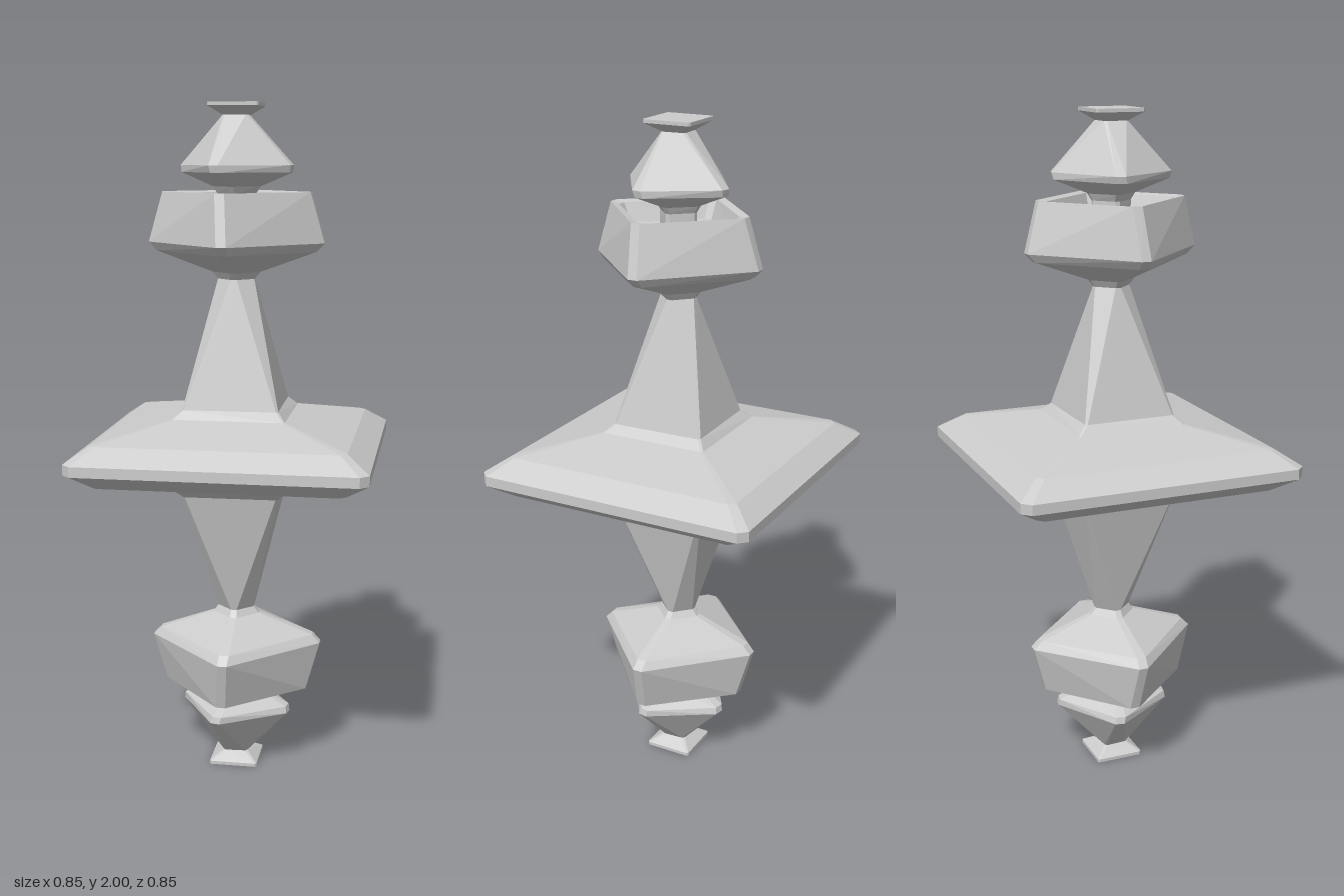
import * as THREE from 'three';

// Each ring: [height, half width, corner chamfer, twist in degrees]
const parts = {
  centralPlate: [
    [1.0, 0.425, 0.025, 0],
    [1.015, 0.425, 0.025, 0],
    [1.06, 0.36, 0.018, 0],
    [1.105, 0.165, 0.006, 0],
  ],
  twistedSpindle: [
    [1.105, 0.165, 0.006, 0],
    [1.13, 0.14, 0.006, 1],
    [1.5, 0.044, 0.012, 45],
  ],
  diamondBlock: [
    [1.5, 0.044, 0.012, 45],
    [1.52, 0.056, 0.014, 45],
    [1.58, 0.176, 0.02, 45],
    [1.605, 0.193, 0.02, 44.4],
    [1.75, 0.165, 0.02, 41.5],
    [1.745, 0.144, 0.018, 41.5],
    [1.69, 0.125, 0.016, 42],
    [1.68, 0.045, 0.01, 42],
  ],
  finial: [
    [1.68, 0.045, 0.01, 42],
    [1.745, 0.045, 0.01, 41],
    [1.765, 0.055, 0.012, 40],
    [1.805, 0.128, 0.02, 33],
    [1.825, 0.131, 0.02, 31.5],
    [1.965, 0.037, 0.007, 3],
    [1.99, 0.073, 0.005, 0],
    [2.0, 0.073, 0.005, 0],
  ],
};

// Square with cut corners, turned about the vertical axis
function ringPoints([y, h, c, twist]) {
  const points = [];
  for (let k = 0; k < 4; k++) {
    const a = THREE.MathUtils.degToRad(twist + k * 90);
    for (const [u, v] of [[h, h - c], [h - c, h]]) {
      points.push(new THREE.Vector3(
        u * Math.cos(a) - v * Math.sin(a), y,
        -(u * Math.sin(a) + v * Math.cos(a))));
    }
  }
  return points;
}

// Skin between successive rings; mirrored swaps top for bottom
function loft(rings, capped, mirrored) {
  const positions = [];
  const tri = (a, b, c) => {
    for (const p of mirrored ? [a, c, b] : [a, b, c]) {
      positions.push(p.x, mirrored ? 2 - p.y : p.y, p.z);
    }
  };
  const loops = rings.map(ringPoints);
  for (let r = 0; r < loops.length - 1; r++) {
    const a = loops[r], b = loops[r + 1];
    const forward = rings[r + 1][3] >= rings[r][3];
    for (let i = 0; i < 8; i++) {
      const j = (i + 1) % 8;
      // Take the diagonal that keeps the twisted face convex
      if (forward) {
        tri(a[i], a[j], b[i]);
        tri(a[j], b[j], b[i]);
      } else {
        tri(a[i], a[j], b[j]);
        tri(a[i], b[j], b[i]);
      }
    }
  }
  if (capped) {
    const top = loops[loops.length - 1];
    for (let i = 1; i < 7; i++) tri(top[0], top[i], top[i + 1]);
  }
  const geometry = new THREE.BufferGeometry();
  geometry.setAttribute('position', new THREE.Float32BufferAttribute(positions, 3));
  geometry.computeVertexNormals();
  return geometry;
}

export function createModel() {
  const model = new THREE.Group();
  model.name = 'ornament';
  const material = new THREE.MeshStandardMaterial({ color: 0xcccccc, flatShading: true });
  for (const mirrored of [false, true]) {
    const half = new THREE.Group();
    half.name = mirrored ? 'lowerHalf' : 'upperHalf';
    for (const [name, rings] of Object.entries(parts)) {
      const mesh = new THREE.Mesh(loft(rings, name === 'finial', mirrored), material);
      mesh.name = name;
      half.add(mesh);
    }
    model.add(half);
  }
  return model;
}
